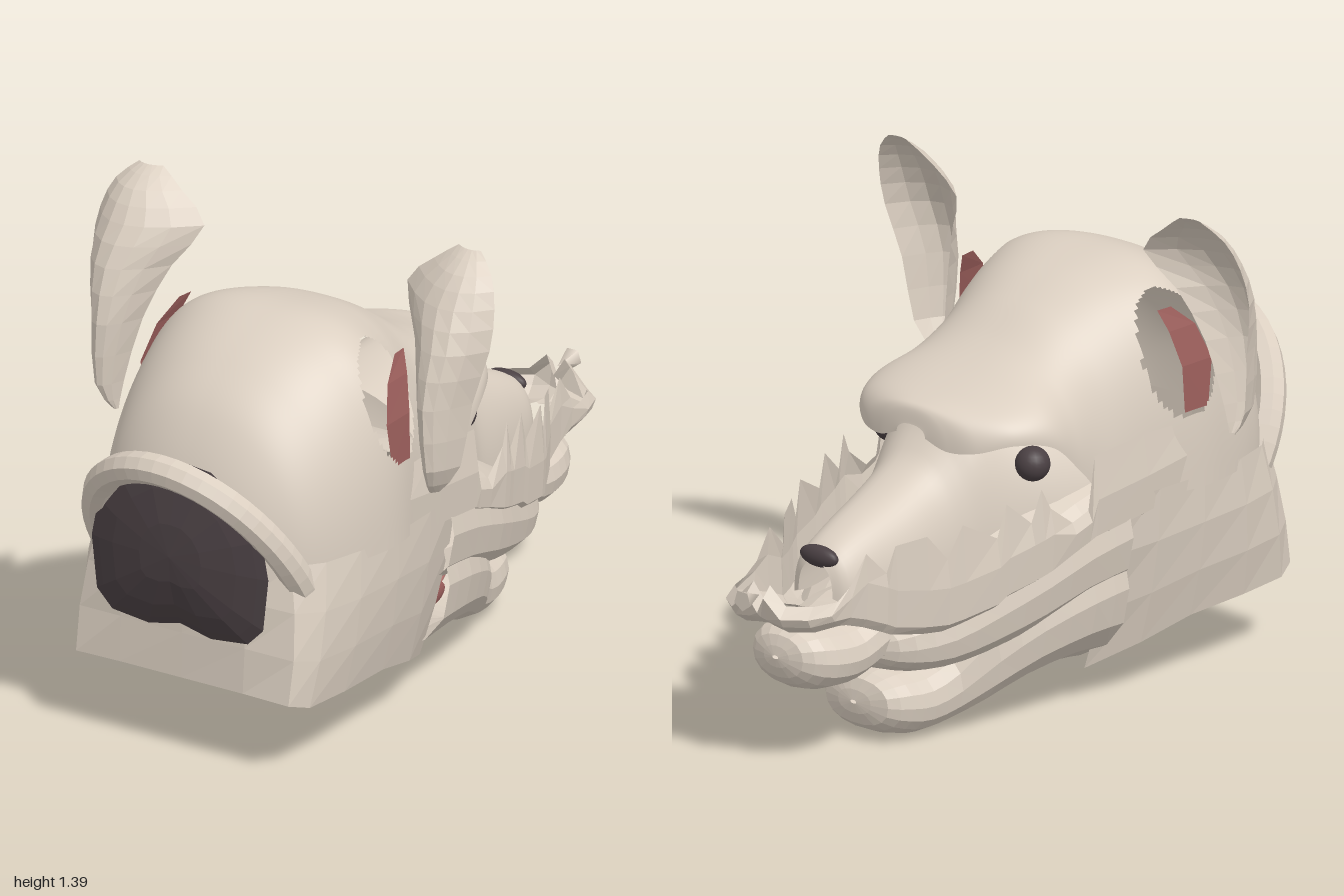
import * as THREE from 'three';

const mat = (name, color, double = true) => {
  const m = new THREE.MeshStandardMaterial({ color, side: double ? THREE.DoubleSide : THREE.FrontSide });
  m.name = name;
  return m;
};

// Smoothly resample a list of equal-length stations
function resample(list, n) {
  const out = [];
  for (let i = 0; i <= n; i++) {
    const f = (i / n) * (list.length - 1);
    const k = Math.min(Math.floor(f), list.length - 2), t = f - k;
    const at = (j) => list[Math.max(0, Math.min(list.length - 1, j))];
    out.push(list[k].map((p1, c) => {
      const p0 = at(k - 1)[c], p2 = at(k + 1)[c], p3 = at(k + 2)[c];
      return 0.5 * (2 * p1 + (p2 - p0) * t + (2 * p0 - 5 * p1 + 4 * p2 - p3) * t * t + (3 * p1 - p0 - 3 * p2 + p3) * t * t * t);
    }));
  }
  return out;
}

// Surface through rows of points; keep() may leave out cells
function sheet(rows, flat, keep = () => true) {
  const pos = rows.flat(2), idx = [], c = rows[0].length;
  for (let i = 0; i < rows.length - 1; i++) {
    for (let j = 0; j < c - 1; j++) {
      if (!keep(rows[i][j])) continue;
      const a = i * c + j, b = a + c;
      idx.push(a, b, a + 1, b, b + 1, a + 1);
    }
  }
  let g = new THREE.BufferGeometry();
  g.setAttribute('position', new THREE.Float32BufferAttribute(pos, 3));
  g.setIndex(idx);
  if (flat) g = g.toNonIndexed();
  g.computeVertexNormals();
  return g;
}

// Superellipse sections along z: station = [z, halfWidth, bottom, top, own power]
function loft(stations, n, cols, power, full) {
  return resample(stations, n).map(([z, w, b, t, p = power]) => {
    const row = [];
    const cy = full ? (b + t) / 2 : b, h = t - cy;
    for (let j = 0; j <= cols; j++) {
      const a = (j / cols) * Math.PI * (full ? 2 : 1);
      const e = (v) => Math.sign(v) * Math.pow(Math.abs(v), 2 / p);
      row.push([w * e(Math.cos(a)), cy + h * e(Math.sin(a)), z]);
    }
    return row;
  });
}

// Continue a half path of points or columns across the centre line
const mirrorPath = (p) => [...p, ...p.slice(0, -1).reverse().map(([x, ...r]) => [-x, ...r])];
const mirrorRows = (rows) => [...rows, ...rows.slice(0, -1).reverse().map((row) => row.map(([x, y, z]) => [-x, y, z]))];

export function createModel() {
  const group = new THREE.Group();
  const skin = mat('skin beige', 0xdbcfc1);
  const dark = mat('dark brown', 0x4a4043);
  const red = mat('lining red', 0x9c5f5c);
  const pink = mat('tongue pink', 0xc5807b, false);
  const maroon = mat('mouth maroon', 0x5f4040, false);
  const add = (name, g, m) => {
    const mesh = new THREE.Mesh(g, m);
    mesh.name = name;
    group.add(mesh);
    return mesh;
  };
  const blob = (name, m, [x, y, z], [sx, sy, sz]) => {
    const mesh = add(name, new THREE.SphereGeometry(1, 20, 14), m);
    mesh.position.set(x, y, z);
    mesh.scale.set(sx, sy, sz);
  };

  // Smooth skull dome and brow, swollen at the ears, with an oval slot beside each ear
  const skull = loft([
    [0.85, 0.04, 0.57, 0.62, 2.2], [0.835, 0.19, 0.57, 0.8, 2.2], [0.76, 0.31, 0.57, 0.97, 2.2],
    [0.65, 0.375, 0.57, 1.08, 2.3], [0.52, 0.41, 0.57, 1.15, 2.6], [0.4, 0.415, 0.57, 1.17, 3],
    [0.25, 0.375, 0.57, 1.14, 2.7], [0.12, 0.345, 0.58, 1.08, 2.4], [0, 0.335, 0.7, 1.0, 2.3],
    [-0.1, 0.325, 0.79, 0.95, 2.3], [-0.2, 0.275, 0.81, 0.915, 2.3], [-0.27, 0.2, 0.79, 0.9, 2.3],
    [-0.3, 0.12, 0.785, 0.885, 2.3], [-0.31, 0.05, 0.81, 0.84, 2.3]], 150, 150, 2.3, false);
  const slot = ([x, y, z]) => ((z - 0.38) / 0.115) ** 2 + ((y - 0.945) / 0.165) ** 2 < 1;
  add('skull', sheet(skull, false, (p) => !slot(p)), skin);

  // Face under the brow and the nose bridge
  add('noseBridge', sheet(loft([
    [0.12, 0.33, 0.45, 0.84], [-0.02, 0.29, 0.45, 0.85], [-0.12, 0.24, 0.45, 0.86], [-0.22, 0.205, 0.45, 0.87],
    [-0.28, 0.185, 0.44, 0.8], [-0.34, 0.165, 0.43, 0.74], [-0.45, 0.15, 0.42, 0.685], [-0.58, 0.125, 0.42, 0.635],
    [-0.67, 0.1, 0.44, 0.59], [-0.7, 0.06, 0.46, 0.55]], 36, 28, 2.4, false), false), skin);
  blob('noseHole', dark, [0, 0.565, -0.685], [0.065, 0.03, 0.025]);

  // Box-like neck wall, open below: [x bottom, z bottom, y bottom, x top, z top, y top]
  const neck = [
    [0.26, 0.1, 0.1, 0.38, 0.1, 0.6], [0.33, 0.25, 0.15, 0.4, 0.25, 0.6], [0.36, 0.42, 0.19, 0.41, 0.42, 0.6],
    [0.375, 0.62, 0.2, 0.4, 0.58, 0.6], [0.37, 0.78, 0.205, 0.37, 0.7, 0.6], [0.345, 0.845, 0.225, 0.31, 0.78, 0.6],
    [0.2, 0.85, 0.23, 0.18, 0.83, 0.62], [0, 0.85, 0.23, 0, 0.84, 0.62]];
  add('neck', sheet(mirrorRows(neck.map(([xb, zb, yb, xt, zt, yt]) => [0, 0.33, 0.67, 1].map((t) => {
    const l = THREE.MathUtils.lerp, bulge = 1 + 0.05 * Math.sin(t * Math.PI);
    return [l(xb, xt, t) * bulge, l(yb, yt, t), l(zb, zt, t)];
  }))), true), skin);

  // Faceted lower jaw, cheek lobe and muzzle ball
  add('lowerJaw', sheet(loft([
    [0.14, 0.385, 0.085, 0.6], [0.02, 0.375, 0.1, 0.56], [-0.13, 0.325, 0.08, 0.48], [-0.24, 0.26, 0.035, 0.38],
    [-0.32, 0.195, 0.01, 0.25], [-0.4, 0.17, 0.002, 0.205], [-0.47, 0.15, 0.015, 0.2], [-0.53, 0.11, 0.05, 0.18],
    [-0.545, 0.01, 0.11, 0.12]], 16, 18, 2.3, true), true), skin);
  add('cheeks', sheet(loft([
    [0.14, 0.4, 0.28, 0.7], [0, 0.385, 0.27, 0.66], [-0.15, 0.362, 0.235, 0.6], [-0.3, 0.315, 0.205, 0.52],
    [-0.43, 0.27, 0.2, 0.44], [-0.53, 0.215, 0.22, 0.39], [-0.585, 0.14, 0.25, 0.35], [-0.595, 0.01, 0.29, 0.3]],
  14, 18, 2.6, true), true), skin);
  add('muzzleBall', sheet(loft([
    [-0.45, 0.13, 0.27, 0.44], [-0.58, 0.155, 0.235, 0.43], [-0.66, 0.155, 0.215, 0.4], [-0.73, 0.15, 0.212, 0.4],
    [-0.8, 0.13, 0.225, 0.405], [-0.85, 0.085, 0.265, 0.385], [-0.865, 0.01, 0.32, 0.33]], 12, 16, 2.2, true), true), skin);

  // Ragged-edged shell round the snout: [x, z, rim y, lower y]
  const shell = mirrorPath([
    [0.405, 0.36, 0.76, 0.54], [0.4, 0.2, 0.765, 0.52], [0.39, 0.01, 0.75, 0.5], [0.385, -0.01, 0.6, 0.49],
    [0.38, -0.07, 0.58, 0.47], [0.372, -0.15, 0.64, 0.44], [0.365, -0.18, 0.7, 0.43], [0.355, -0.21, 0.61, 0.42],
    [0.335, -0.29, 0.68, 0.4], [0.328, -0.32, 0.59, 0.38], [0.3, -0.43, 0.65, 0.36], [0.28, -0.47, 0.56, 0.35],
    [0.25, -0.52, 0.63, 0.35], [0.205, -0.6, 0.615, 0.36], [0.19, -0.62, 0.54, 0.37], [0.178, -0.69, 0.61, 0.4],
    [0.172, -0.75, 0.53, 0.42], [0.17, -0.83, 0.5, 0.425], [0.145, -0.9, 0.5, 0.42], [0.085, -0.945, 0.5, 0.42],
    [0.03, -0.95, 0.55, 0.43], [0, -0.94, 0.5, 0.43]]);
  add('snoutShell', sheet(shell.map(([x, z, rim, low]) => {
    const mid = Math.min(low + 0.13, rim - 0.03);
    const tuck = z < -0.8 ? 0.05 : 0;
    return [[x * 0.96, rim, z + tuck * 0.6], [x, mid, z], [x * 0.98, low + 0.025, z + tuck * 0.3],
      [x * 0.88, low, z + tuck], [x * 0.45, low + 0.01, z + tuck * 2]];
  }), true), skin);
  const tip = add('snoutTip', new THREE.ConeGeometry(0.03, 0.07, 5), skin);
  tip.rotation.x = Math.PI / 2;
  tip.position.set(0, 0.52, -0.965);

  // Cupped ears: [y, inner x, inner z, middle x, middle z, outer x, outer z]
  const earRows = resample([
    [0.74, 0.505, 0.41, 0.515, 0.42, 0.53, 0.4], [0.82, 0.495, 0.4, 0.535, 0.47, 0.585, 0.38],
    [1.0, 0.455, 0.37, 0.53, 0.48, 0.61, 0.36], [1.15, 0.395, 0.32, 0.53, 0.44, 0.645, 0.33],
    [1.26, 0.33, 0.26, 0.51, 0.38, 0.64, 0.3], [1.34, 0.41, 0.25, 0.52, 0.32, 0.61, 0.27],
    [1.39, 0.48, 0.235, 0.52, 0.25, 0.555, 0.24]], 12);
  for (const s of [1, -1]) {
    const side = s > 0 ? 'left' : 'right';
    add(side + 'Ear', sheet(earRows.map(([y, ix, iz, mx, mz, ox, oz]) => {
      const row = [];
      for (let j = 0; j <= 6; j++) {
        const t = j / 6, q = 4 * t * (1 - t);
        const bend = (a, m, b) => a + (b - a) * t + (m - (a + b) / 2) * q;
        row.push([s * bend(ix, mx, ox), y, bend(iz, mz, oz)]);
      }
      return row;
    }), true), skin);

    // Red lining inside the ear slot
    add(side + 'EarLining', sheet([[0.79, 0.4, 0.35, 0.44], [0.92, 0.395, 0.345, 0.46], [1.02, 0.37, 0.32, 0.42],
      [1.08, 0.345, 0.3, 0.35]].map(([y, x, z0, z1]) => [[s * x, y, z0], [s * (x + 0.005), y, z1]]), true), red);

    // Eyes below the brow and red inner cheeks
    blob(side + 'Eye', dark, [s * 0.25, 0.73, -0.1], [0.048, 0.048, 0.048]);
    blob(side + 'InnerCheek', red, [s * 0.2, 0.215, 0], [0.025, 0.04, 0.1]);
  }

  // Bulging dark patch at the back of the head
  const rim = mirrorPath([[0, 0.86], [0.1, 0.85], [0.2, 0.785], [0.265, 0.69], [0.287, 0.58], [0.27, 0.43],
    [0.22, 0.38], [0.1, 0.367], [0, 0.39]]);
  add('backPatch', sheet([0, 0.35, 0.7, 0.9, 1].map((r) => rim.map(([x, y]) =>
    [x * r, 0.6 + (y - 0.6) * r, 0.91 - 0.055 * r * r])), true), dark);

  // Tilted arched rim over the patch
  const arch = [];
  for (let i = 0; i <= 20; i++) {
    const a = -0.08 + (i / 20) * (Math.PI + 0.16);
    arch.push(new THREE.Vector3(0.317 * Math.cos(a), 0.53 + 0.335 * Math.sin(a), 0.74 + 0.21 * Math.sin(a)));
  }
  const tube = new THREE.TubeGeometry(new THREE.CatmullRomCurve3(arch), 28, 0.044, 8).toNonIndexed();
  tube.computeVertexNormals();
  add('archedRim', tube, skin);

  // Mouth lining and tongue seen through the open neck
  blob('mouthLining', maroon, [0, 0.235, -0.02], [0.18, 0.075, 0.22]);
  blob('tongue', pink, [0, 0.15, -0.1], [0.11, 0.045, 0.26]);
  return group;
}
